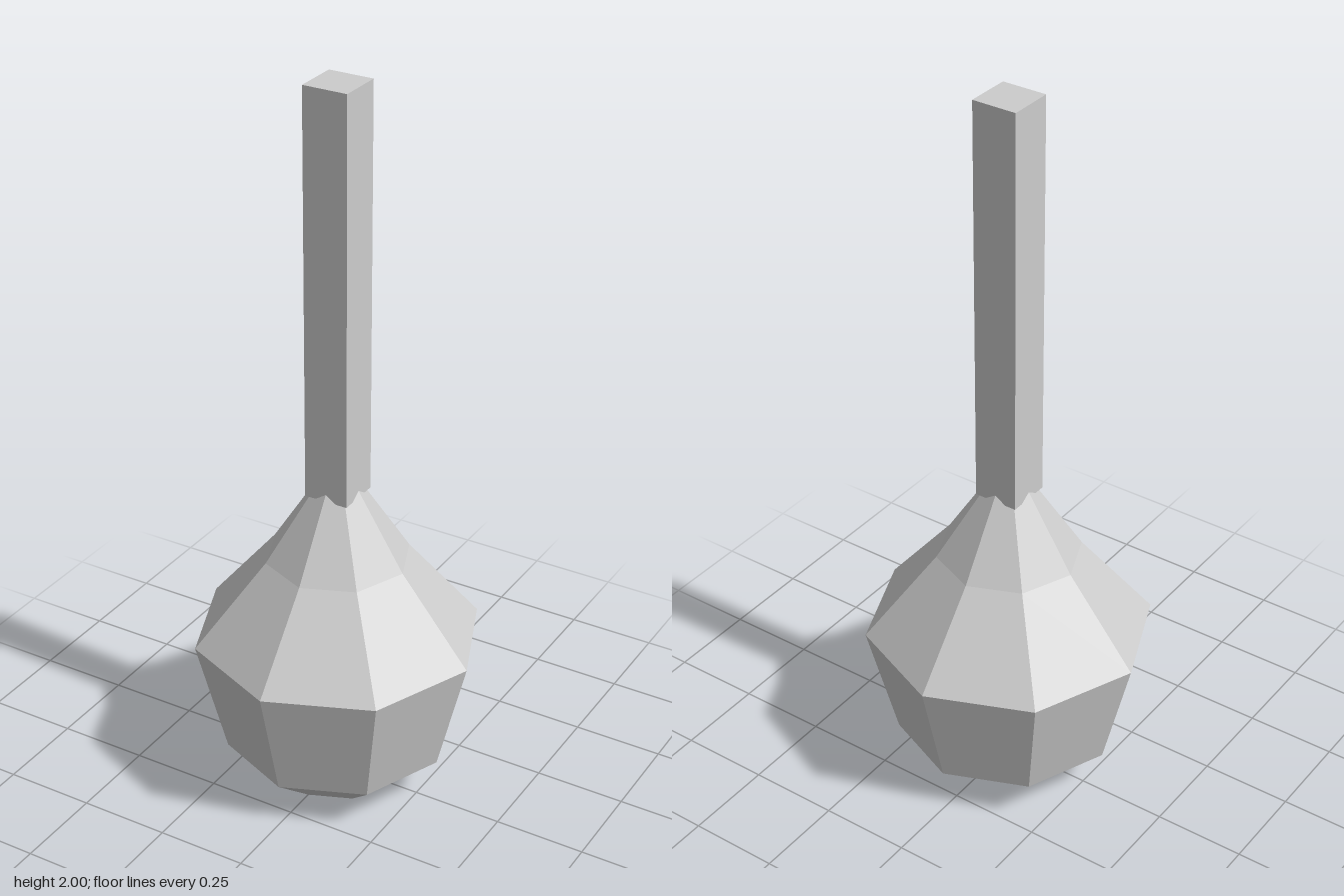
import * as THREE from 'three';

export function createModel() {
  const group = new THREE.Group();
  const grey = new THREE.MeshStandardMaterial({ color: 0xcccccc, flatShading: true });
  grey.name = 'light grey';

  // Eight-sided bulb, closed at both ends, with corners on the x and z axes
  const profile = [
    [0, 0], [0.16, 0], [0.31, 0.125], [0.392, 0.453],
    [0.196, 0.69], [0.062, 0.9], [0, 0.9],
  ].map(([r, y]) => new THREE.Vector2(r, y));
  const bulb = new THREE.Mesh(new THREE.LatheGeometry(profile, 8), grey);
  bulb.name = 'bulb';
  group.add(bulb);

  // Square rod whose lower corners overhang the neck of the bulb
  const bottom = 0.88, top = 2;
  const rod = new THREE.Mesh(new THREE.BoxGeometry(0.124, top - bottom, 0.124), grey);
  rod.position.y = (bottom + top) / 2;
  rod.name = 'rod';
  group.add(rod);

  return group;
}
